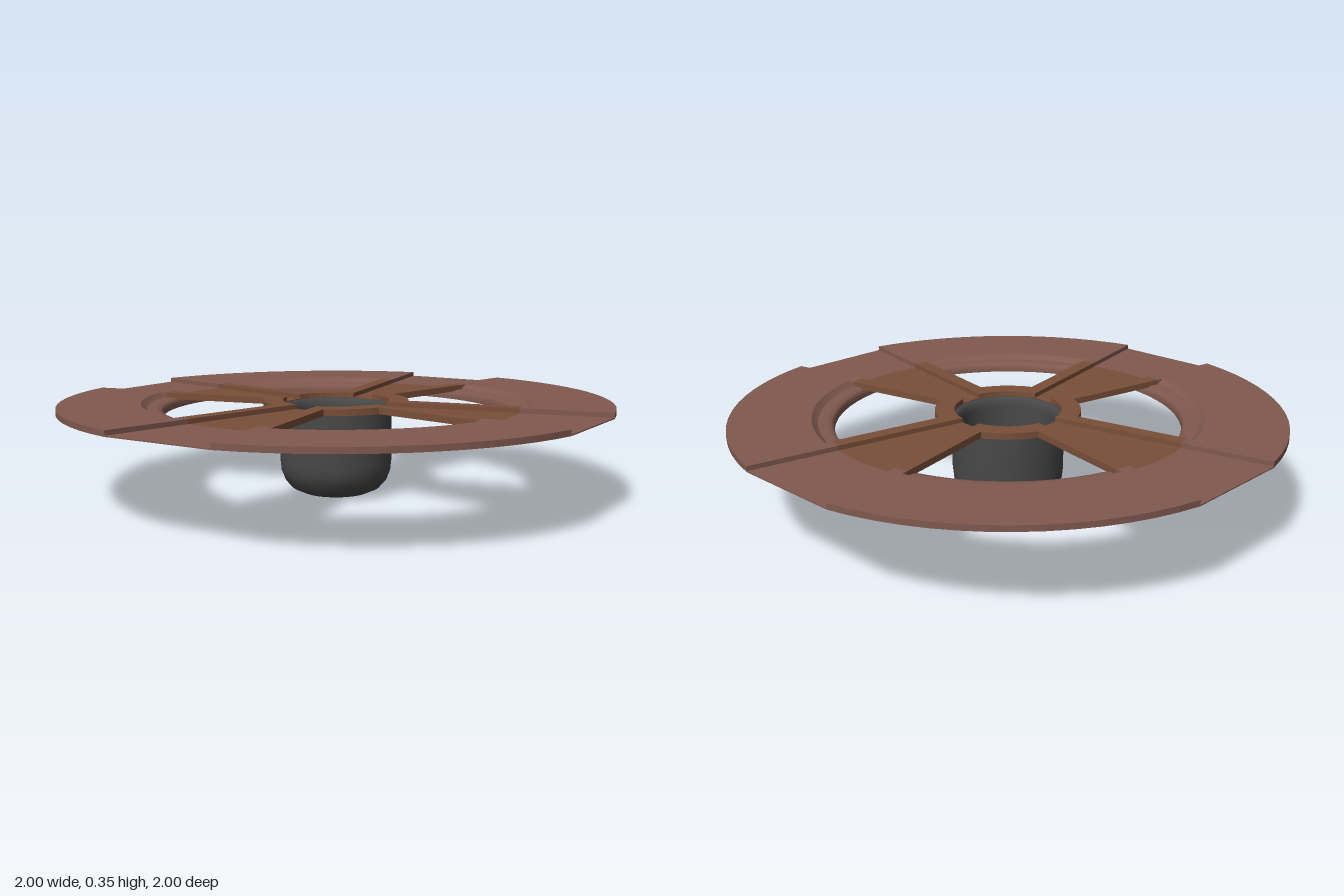
import * as THREE from 'three';

const TOP = 0.355, FLOOR = 0.338, UNDER = 0.334, SPOKE_UNDER = 0.331;
const SPOKE_END = 0.695, RING_INNER = 0.722, RING_OUTER = Math.hypot(1, 0.21);

const ringMaterial = new THREE.MeshStandardMaterial({ color: 0x80594f });
const spokeMaterial = new THREE.MeshStandardMaterial({ color: 0x7a4f3a });
const cupMaterial = new THREE.MeshStandardMaterial({ color: 0x484848, side: THREE.DoubleSide });
const slopeMaterial = new THREE.MeshStandardMaterial({ color: 0x80594f, side: THREE.DoubleSide });

// Half widths of the sunken channel and of the whole spoke at distance x from the centre
const channel = x => 0.043 + (x - 0.2) * 0.209;
const spoke = x => 0.108 + (x - 0.25) * 0.209;

// Point on a straight edge (given by its half width) at radius r
function edgePoint(edge, r) {
  let x = r;
  for (let i = 0; i < 12; i++) x = Math.sqrt(r * r - edge(x) ** 2);
  return new THREE.Vector2(x, edge(x));
}

function arc(r, from, to, steps) {
  return Array.from({ length: steps + 1 }, (_, i) => {
    const a = from + (to - from) * i / steps;
    return new THREE.Vector2(r * Math.cos(a), r * Math.sin(a));
  });
}

// Arc across one quadrant, ending on the given edge at both sides
function quadrantArc(edge, r, steps) {
  const a = edgePoint(edge, r).angle();
  return arc(r, a, Math.PI / 2 - a, steps);
}

// Flat plate with its outline in the x-z plane
function plate(points, top, bottom) {
  const geometry = new THREE.ExtrudeGeometry(new THREE.Shape(points), { depth: top - bottom, bevelEnabled: false });
  return geometry.rotateX(Math.PI / 2).translate(0, top, 0);
}

const lathe = (points, segments, start, length) =>
  new THREE.LatheGeometry(points.map(p => new THREE.Vector2(...p)), segments, start, length);

export function createModel() {
  const model = new THREE.Group();
  const add = (name, geometry, material, turn = 0) => {
    const mesh = new THREE.Mesh(geometry, material);
    mesh.name = name;
    mesh.rotation.y = turn;
    model.add(mesh);
  };
  const mirror = p => new THREE.Vector2(p.y, p.x);

  // Raised rim quarter, with short tabs that meet the spokes
  const tab = [edgePoint(spoke, RING_INNER), edgePoint(spoke, SPOKE_END), edgePoint(channel, SPOKE_END)];
  const rimQuarter = plate([
    ...quadrantArc(channel, RING_OUTER, 14),
    ...tab.map(mirror).reverse(),
    ...quadrantArc(spoke, RING_INNER, 14).reverse(),
    ...tab.slice(1),
  ], TOP, UNDER);

  // Raised spoke borders joined by a quarter of the hub collar
  const hubQuarter = plate([
    edgePoint(channel, SPOKE_END),
    edgePoint(spoke, SPOKE_END),
    ...quadrantArc(spoke, 0.272, 8),
    mirror(edgePoint(spoke, SPOKE_END)),
    mirror(edgePoint(channel, SPOKE_END)),
    ...quadrantArc(channel, 0.2, 10).reverse(),
  ], TOP, SPOKE_UNDER);

  // Sunken channel floors: inner part on the spoke, outer part on the rim
  const floorAngle = edgePoint(channel, SPOKE_END).angle();
  const floorArc = arc(SPOKE_END, -floorAngle, floorAngle, 6);
  const spokeFloor = plate([new THREE.Vector2(0.197, -0.043), ...floorArc, new THREE.Vector2(0.197, 0.043)], FLOOR, SPOKE_UNDER);
  const rimFloor = plate([new THREE.Vector2(1, -0.21), new THREE.Vector2(1, 0.21), ...floorArc.slice().reverse()], FLOOR, UNDER);

  // Sloped step from the rim down to the inner ledge
  const stepAngle = edgePoint(spoke, 0.71).angle();
  const rimStep = lathe([[RING_INNER, TOP], [0.712, 0.345], [0.7, 0.337]], 14, stepAngle, Math.PI / 2 - 2 * stepAngle);

  for (let i = 0; i < 4; i++) {
    const turn = i * Math.PI / 2;
    add('rimQuarter', rimQuarter, ringMaterial, turn);
    add('hubQuarter', hubQuarter, spokeMaterial, turn);
    add('spokeFloor', spokeFloor, spokeMaterial, turn);
    add('rimFloor', rimFloor, ringMaterial, turn);
    add('rimStep', rimStep, slopeMaterial, turn);
  }

  // Inner ledge with a lip hanging below it
  add('innerLip', lathe([
    [0.642, 0.3], [0.648, 0.3], [0.65, 0.333], [0.73, 0.333], [0.73, 0.3365],
    [0.665, 0.3365], [0.65, 0.331], [0.642, 0.318], [0.642, 0.3],
  ], 64), slopeMaterial);

  // Round-bottomed hollow cup
  add('cup', lathe([
    [0, 0.004], [0.08, 0.004], [0.125, 0.009], [0.165, 0.027], [0.192, 0.056], [0.206, 0.092], [0.21, 0.13],
    [0.21, 0.325], [0.203, 0.335], [0.19, 0.335], [0.183, 0.322], [0.176, 0.3], [0.176, 0.13],
    [0.168, 0.09], [0.15, 0.06], [0.13, 0.045], [0.07, 0.03], [0, 0.026],
  ].map(([r, y]) => [r, y - 0.004 * (1 - y / 0.335)]), 40), cupMaterial);

  return model;
}
